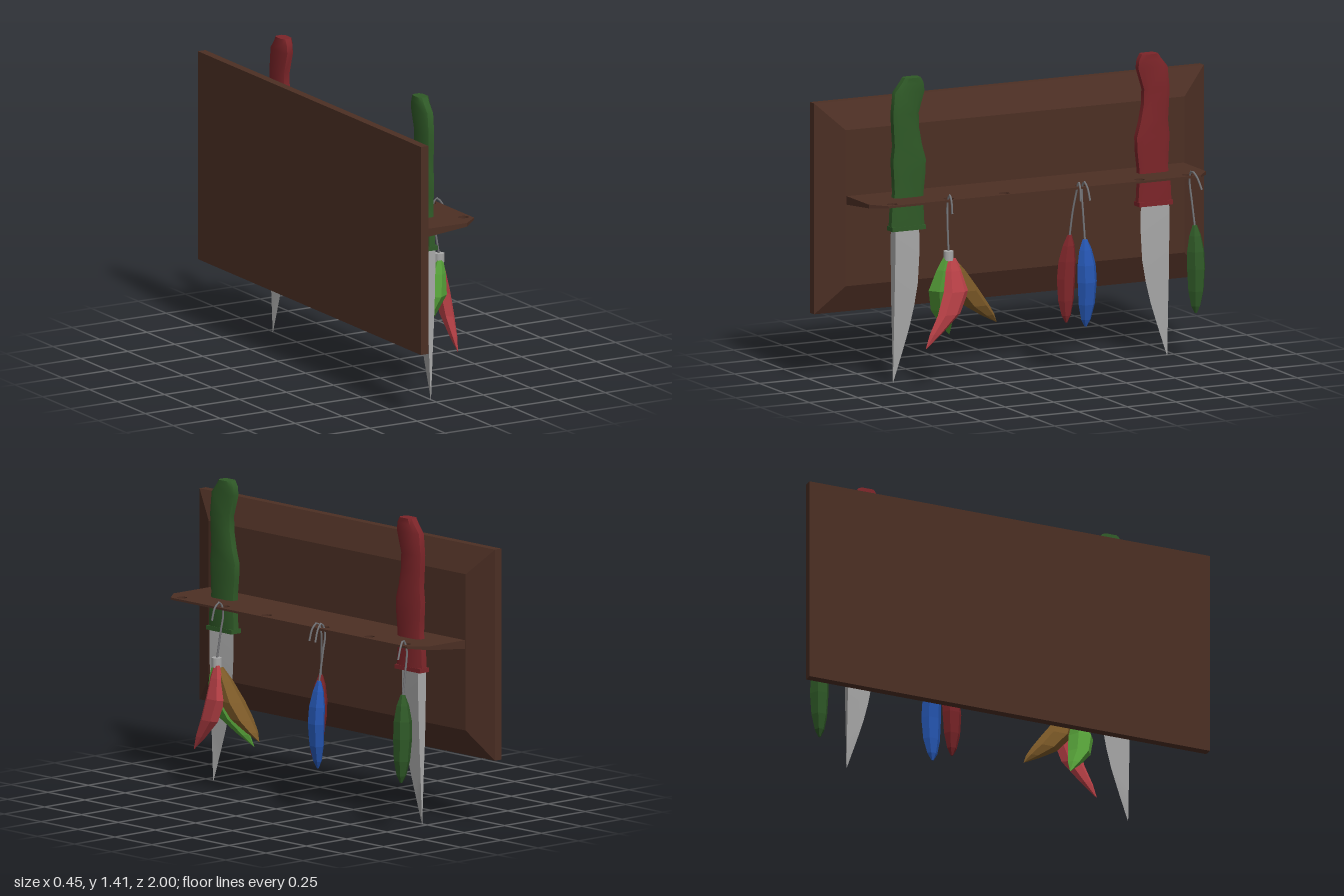
import * as THREE from 'three';
import { toCreasedNormals } from 'three/addons/utils/BufferGeometryUtils.js';

const V = (x, y, z) => new THREE.Vector3(x, y, z);
const mat = (name, color, extra = {}) => new THREE.MeshStandardMaterial({ name, color, ...extra });

// Closed solid through a list of equal-sized point rings; crease is the smoothing angle
function loft(rings, crease = 0) {
  const n = rings[0].length, tris = [];
  for (let i = 0; i < rings.length - 1; i++)
    for (let j = 0; j < n; j++) {
      const k = (j + 1) % n;
      const a = rings[i][j], b = rings[i][k], c = rings[i + 1][k], d = rings[i + 1][j];
      tris.push([a, b, c], [a, c, d]);
    }
  const first = rings[0], last = rings[rings.length - 1];
  for (let j = 1; j < n - 1; j++)
    tris.push([first[0], first[j + 1], first[j]], [last[0], last[j], last[j + 1]]);
  // turn the faces outward whichever way the rings run
  const origin = first[0], e = V(0, 0, 0);
  let volume = 0;
  for (const [a, b, c] of tris) {
    const p = a.clone().sub(origin), q = b.clone().sub(origin), r = c.clone().sub(origin);
    volume += p.dot(e.crossVectors(q, r));
  }
  const points = tris.flatMap(([a, b, c]) => (volume < 0 ? [a, c, b] : [a, b, c]));
  const g = new THREE.BufferGeometry().setFromPoints(points);
  g.computeVertexNormals();
  return crease ? toCreasedNormals(g, crease) : g;
}

export function createModel() {
  const wood = mat('dark wood', 0x4c2f24);
  const green = mat('dark green', 0x2f5927);
  const red = mat('dark red', 0x7c2529);
  const steel = mat('steel', 0xa8a8a8);
  const twine = mat('grey twine', 0x77777a);
  const leafGreen = mat('bright green', 0x559f38);
  const rose = mat('light red', 0xbc4248);
  const gold = mat('golden brown', 0x7d5a28);
  const blue = mat('blue', 0x2555b0);

  const model = new THREE.Group();
  model.name = 'knifeRack';
  const add = (name, geometry, material, parent = model) => {
    const m = new THREE.Mesh(geometry, material);
    m.name = name;
    parent.add(m);
    return m;
  };

  // Back board with a wide bevel toward the shelf
  const boardRing = (x, y0, y1, z) => [V(x, y0, -z), V(x, y1, -z), V(x, y1, z), V(x, y0, z)];
  add('backBoard', loft([
    boardRing(-0.23, 0.31, 1.293, 1),
    boardRing(-0.19, 0.31, 1.293, 1),
    boardRing(-0.128, 0.44, 1.168, 0.87),
  ]), wood);

  // Shelf with clipped corners and hanging holes, thinner toward its free edge
  const shape = new THREE.Shape([
    [-0.13, -0.865], [0.095, -0.865], [0.172, -0.8], [0.172, 0.8], [0.095, 0.865], [-0.13, 0.865],
  ].map(([x, y]) => new THREE.Vector2(x, y)));
  for (const z of [-0.75, -0.505, -0.2, 0.19, 0.475, 0.765])
    shape.holes.push(new THREE.Path().absarc(0.135, -z, 0.024, 0, Math.PI * 2, true));
  const shelf = new THREE.ExtrudeGeometry(shape, { depth: 0.04, bevelEnabled: false, curveSegments: 8 });
  shelf.rotateX(-Math.PI / 2);
  const sp = shelf.attributes.position;
  for (let i = 0; i < sp.count; i++)
    if (sp.getY(i) < 0.02) sp.setY(i, 0.03 * (sp.getX(i) + 0.13) / 0.3);
  shelf.translate(0, 0.82, 0);
  shelf.computeVertexNormals();
  add('shelf', shelf, wood);

  // Knife: contoured handle, collar and wedge blade with its spine outward
  function knife(name, material, side, cx, shift) {
    const g = new THREE.Group();
    g.name = name;
    model.add(g);
    const Z = u => side * u + shift;
    const handle = [ // height, inner edge, outer edge
      [0.715, 0.54, 0.71], [0.81, 0.545, 0.705], [0.88, 0.545, 0.692], [0.96, 0.536, 0.696],
      [1.03, 0.533, 0.7], [1.1, 0.553, 0.692], [1.18, 0.568, 0.697], [1.25, 0.57, 0.7],
      [1.35, 0.54, 0.69], [1.39, 0.545, 0.657], [1.415, 0.56, 0.64],
    ];
    add('handle', loft(handle.map(([y, a, b]) => {
      const c = (a + b) / 2, w = (b - a) / 2, t = 0.027;
      return [[t, 0.65], [0.55 * t, 1], [-0.55 * t, 1], [-t, 0.65], [-t, -0.65], [-0.55 * t, -1], [0.55 * t, -1], [t, -0.65]]
        .map(([x, k]) => V(cx + x, y, Z(c + k * w)));
    }), 0.75), material, g);
    const collar = new THREE.BoxGeometry(0.058, 0.02, 0.172);
    add('collar', collar, material, g).position.set(cx, 0.716, Z(0.625));
    const blade = [ // height, edge, spine, half thickness of the spine
      [0.71, 0.56, 0.693, 0.025], [0.6, 0.558, 0.694, 0.024], [0.45, 0.567, 0.695, 0.02],
      [0.35, 0.585, 0.695, 0.016], [0.25, 0.61, 0.695, 0.011], [0.15, 0.642, 0.695, 0.007],
      [0.0, 0.693, 0.695, 0.001],
    ];
    add('blade', loft(blade.map(([y, edge, spine, t]) =>
      [V(cx - t, y, Z(spine)), V(cx + t, y, Z(spine)), V(cx, y, Z(edge))]), 0.4), steel, g);
  }
  knife('greenKnife', green, 1, 0.004, 0);
  knife('redKnife', red, -1, 0.0, -0.02);

  // Pepper: faceted spindle along a bent path
  const slim = [[0, 0.25], [0.12, 0.65], [0.3, 0.95], [0.5, 1], [0.75, 0.85], [0.92, 0.5], [1, 0.12]];
  const pointed = [[0, 0.3], [0.15, 0.65], [0.4, 1], [0.65, 0.9], [0.85, 0.5], [1, 0.03]];
  function pepper(name, material, path, rx, rz, profile) {
    const curve = new THREE.CatmullRomCurve3(path.map(p => V(...p)));
    add(name, loft(profile.map(([t, k]) => {
      const c = curve.getPoint(t);
      return Array.from({ length: 6 }, (_, j) => {
        const a = j * Math.PI / 3 + Math.PI / 6;
        return V(c.x + rx * k * Math.cos(a) * 1.1, c.y, c.z + rz * k * Math.sin(a));
      });
    })), material);
  }
  pepper('bluePepper', blue, [[0.172, 0.615, -0.205], [0.192, 0.42, -0.207], [0.18, 0.21, -0.205]], 0.031, 0.049, slim);
  pepper('redPepper', red, [[0.116, 0.63, -0.155], [0.115, 0.43, -0.137], [0.132, 0.228, -0.13]], 0.033, 0.047, slim);
  pepper('darkGreenPepper', green, [[0.17, 0.63, -0.77], [0.175, 0.43, -0.774], [0.18, 0.222, -0.77]], 0.04, 0.046, slim);
  pepper('brightGreenPepper', leafGreen, [[0.165, 0.595, 0.5], [0.118, 0.4, 0.51], [0.012, 0.2, 0.41]], 0.05, 0.062, pointed);
  pepper('lightRedPepper', rose, [[0.178, 0.59, 0.48], [0.2, 0.4, 0.475], [0.192, 0.182, 0.62]], 0.026, 0.064, pointed);
  pepper('goldenPepper', gold, [[0.165, 0.58, 0.475], [0.152, 0.4, 0.38], [0.142, 0.265, 0.235]], 0.05, 0.068, pointed);
  const bead = add('clusterBead', new THREE.CylinderGeometry(0.024, 0.024, 0.044, 10), steel);
  bead.position.set(0.168, 0.602, 0.493);

  // Twine: up through a hole, over the shelf edge and down to a loose end
  function string(name, x, y, z, topZ, endX = 0.2, endZ = topZ) {
    const curve = new THREE.CatmullRomCurve3([
      V(x, y, z), V((x + 0.135) / 2 - 0.003, 0.74, (z + topZ) / 2), V(0.137, 0.835, topZ),
      V(0.158, 0.882, topZ), V(0.185, 0.858, (topZ + endZ) / 2), V(endX, 0.8, endZ),
    ]);
    add(name, new THREE.TubeGeometry(curve, 20, 0.005, 5), twine);
  }
  string('blueString', 0.172, 0.61, -0.205, -0.207, 0.205, -0.215);
  string('redString', 0.116, 0.625, -0.155, -0.18, 0.2, -0.17);
  string('darkGreenString', 0.17, 0.625, -0.77, -0.76, 0.213, -0.785);
  string('clusterString', 0.168, 0.61, 0.493, 0.483, 0.2, 0.49);

  return model;
}
